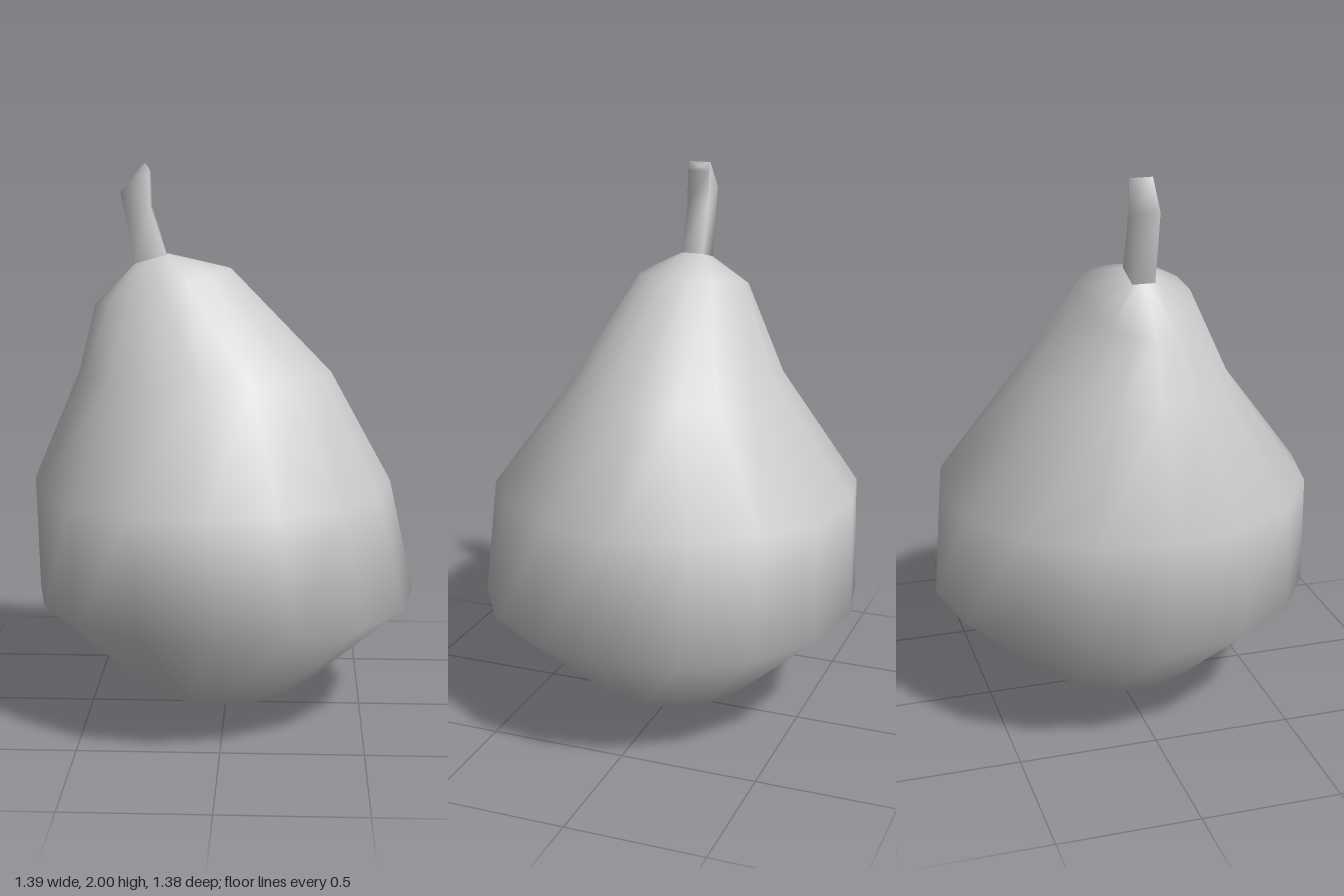
import * as THREE from 'three';

const SIDES = 16;

// Skin a stack of closed rings (bottom to top), optionally closed by centre points.
function loft(rings, bottom, top) {
  const n = rings[0].length;
  const points = rings.flat();
  const index = [];
  for (let r = 0; r < rings.length - 1; r++) {
    for (let i = 0; i < n; i++) {
      const a = r * n + i, b = r * n + (i + 1) % n;
      index.push(a, a + n, b, b, a + n, b + n);
    }
  }
  if (bottom) {
    const c = points.push(bottom) - 1;
    for (let i = 0; i < n; i++) index.push(c, i, (i + 1) % n);
  }
  if (top) {
    const c = points.push(top) - 1, s = (rings.length - 1) * n;
    for (let i = 0; i < n; i++) index.push(c, s + (i + 1) % n, s + i);
  }
  const geometry = new THREE.BufferGeometry().setFromPoints(points);
  geometry.setIndex(index);
  geometry.computeVertexNormals();
  return geometry;
}

// Ring spanning left (x0, y0) to right (x1, y1); square rings push points to a box outline.
function ring([x0, y0, x1, y1, rz, bulge = 0], sides, square = false) {
  return Array.from({ length: sides }, (_, i) => {
    const a = (i + (square && sides === 4 ? 0.5 : 0)) / sides * Math.PI * 2;
    let c = Math.cos(a), s = Math.sin(a);
    if (square) {
      const m = Math.max(Math.abs(c), Math.abs(s));
      c /= m;
      s /= m;
    }
    const t = (c + 1) / 2;
    return new THREE.Vector3(
      x0 + (x1 - x0) * t,
      y0 + (y1 - y0) * t + bulge * (1 - c * c),
      rz * s
    );
  });
}

export function createModel() {
  const group = new THREE.Group();
  group.name = 'pear';
  const material = new THREE.MeshStandardMaterial({ color: 0xcccccc });

  // Lopsided fruit body, narrowing to the foot of the stem
  const stemFoot = [-0.32, 1.65, -0.21, 1.68, 0.04];
  const bodyRings = [
    [-0.16, 0.04, 0.13, 0.04, 0.15],
    [-0.31, 0.10, 0.29, 0.10, 0.30],
    [-0.69, 0.45, 0.69, 0.45, 0.69],
    [-0.70, 0.86, 0.60, 0.86, 0.67],
    [-0.53, 1.26, 0.38, 1.26, 0.37],
    [-0.47, 1.50, 0.02, 1.63, 0.195, 0.025],
  ].map((r) => ring(r, SIDES));
  bodyRings.push(ring(stemFoot, SIDES, true));
  const body = new THREE.Mesh(loft(bodyRings, new THREE.Vector3(-0.02, 0, 0)), material);
  body.name = 'fruitBody';
  group.add(body);

  // Bent four-sided stem with a slanted tip
  const stemRings = [
    stemFoot,
    [-0.37, 1.90, -0.265, 1.85, 0.04],
    [-0.285, 2.00, -0.27, 1.97, 0.04],
  ].map((r) => ring(r, 4, true));
  const stem = new THREE.Mesh(loft(stemRings, null, new THREE.Vector3(-0.277, 1.985, 0)), material);
  stem.name = 'stem';
  group.add(stem);

  return group;
}
